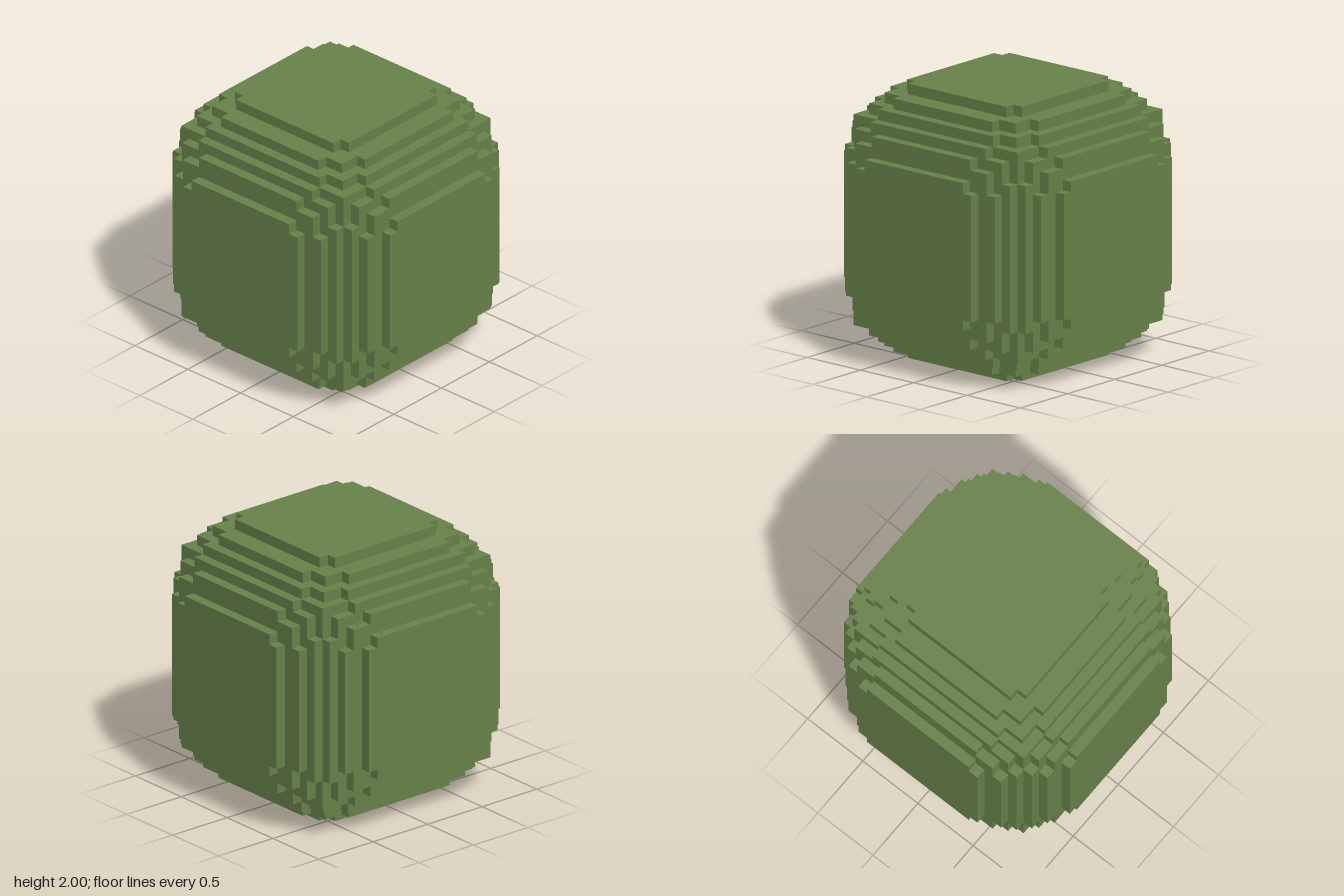
import * as THREE from 'three';

const HALF = 13;          // blocks from centre to each face
const SIZE = 1 / HALF;    // edge of one block

// Half extents of the stepped boxes (largest first); every axis order is used.
const STEPS = [[13, 7, 6], [12, 9, 6], [12, 8, 8], [11, 10, 7], [11, 9, 9], [10, 10, 10]];

// A block is solid when its sorted distances from the centre fit in a step.
function isSolid(cell) {
  const d = cell.map((c) => (c >= 0 ? c + 1 : -c)).sort((a, b) => b - a);
  return STEPS.some((s) => d.every((v, i) => v <= s[i]));
}

// Exposed block faces pointing along one axis in one direction.
function buildSide(axis, sign) {
  const u = (axis + 1) % 3, v = (axis + 2) % 3;
  const positions = [], indices = [];
  const corners = [[0, 0], [1, 0], [1, 1], [0, 1]];
  for (let a = -HALF; a < HALF; a++) {
    for (let b = -HALF; b < HALF; b++) {
      // Outermost solid block of this column
      const cell = [0, 0, 0];
      cell[u] = a;
      cell[v] = b;
      let height = HALF;
      for (; height > 0; height--) {
        cell[axis] = height - 1;
        if (isSolid(cell)) break;
      }
      if (height === 0) continue;
      const start = positions.length / 3;
      for (const [i, j] of corners) {
        const p = [0, 0, 0];
        p[axis] = sign * height * SIZE;
        p[u] = (a + i) * SIZE;
        p[v] = (b + j) * SIZE;
        positions.push(...p);
      }
      const order = sign > 0 ? [0, 1, 2, 0, 2, 3] : [0, 2, 1, 0, 3, 2];
      indices.push(...order.map((k) => start + k));
    }
  }
  const geometry = new THREE.BufferGeometry();
  geometry.setAttribute('position', new THREE.Float32BufferAttribute(positions, 3));
  geometry.setIndex(indices);
  geometry.computeVertexNormals();
  return geometry;
}

export function createModel() {
  const model = new THREE.Group();
  model.name = 'blockSphere';
  const green = new THREE.MeshStandardMaterial({ color: 0x68824a });
  green.name = 'leafGreen';

  // Six stepped sides close the rounded block shape
  const names = [['rightSide', 'leftSide'], ['bottomSide', 'topSide'], ['backSide', 'frontSide']];
  for (let axis = 0; axis < 3; axis++) {
    for (const sign of [-1, 1]) {
      const side = new THREE.Mesh(buildSide(axis, sign), green);
      side.name = names[axis][sign > 0 ? 1 : 0];
      side.position.y = 1;
      model.add(side);
    }
  }
  return model;
}
